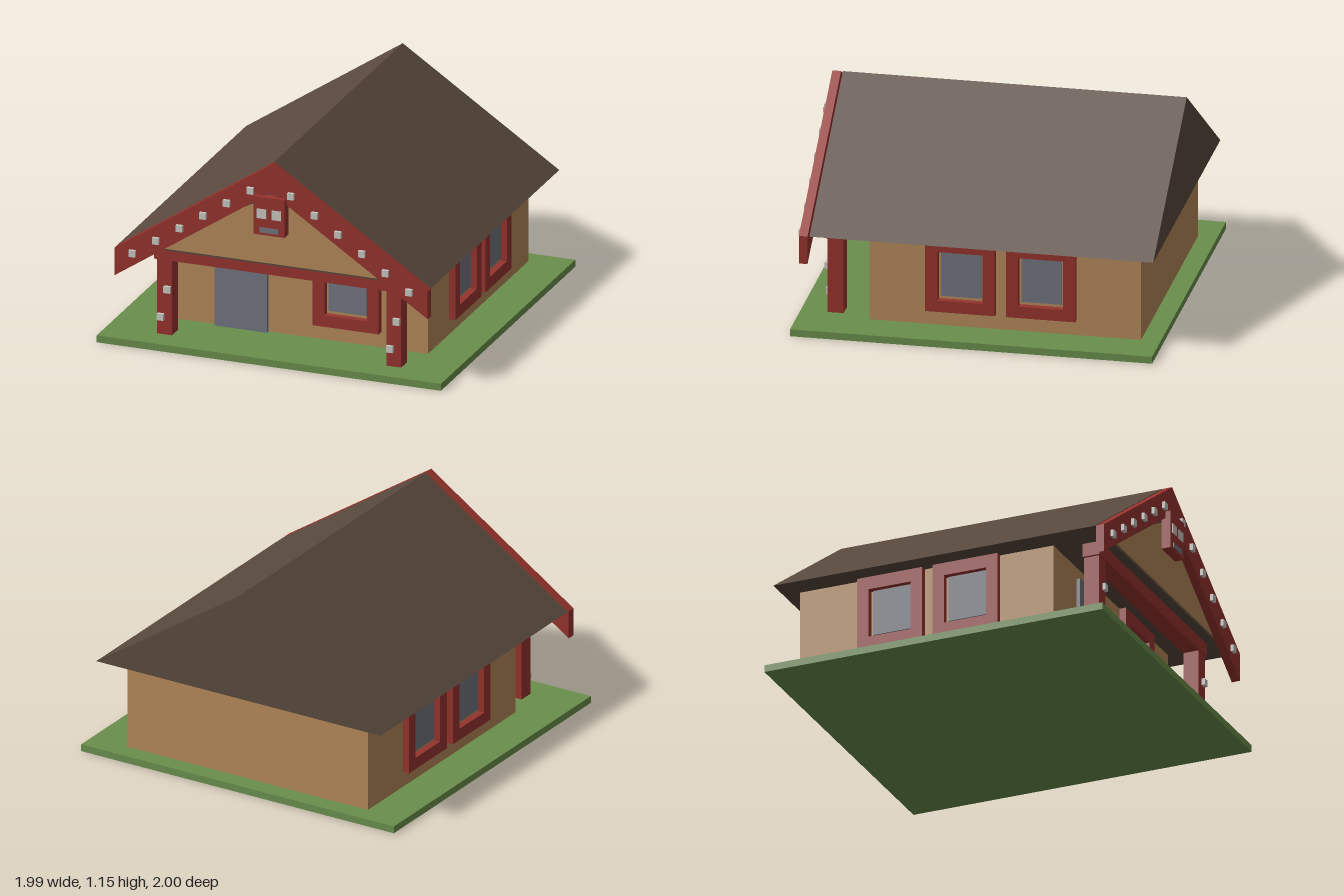
import * as THREE from 'three';

const mat = (name, color) => {
  const m = new THREE.MeshStandardMaterial({ color });
  m.name = name;
  return m;
};

export function createModel() {
  const house = new THREE.Group();
  house.name = 'meetingHouse';

  const grass = mat('grass green', 0x6a8f4d);
  const wall = mat('tan wall', 0xb4895a);
  const red = mat('carved red', 0x96332d);
  const brown = mat('roof brown', 0x59493d);
  const glass = mat('grey glass', 0x727681);
  const pale = mat('pale shell', 0xcbc8c2);

  const add = (name, geo, m, parent = house) => {
    const mesh = new THREE.Mesh(geo, m);
    mesh.name = name;
    parent.add(mesh);
    return mesh;
  };
  // Box given by its minimum and maximum on each axis
  const box = (name, m, x0, x1, y0, y1, z0, z1, parent) => {
    const g = new THREE.BoxGeometry(x1 - x0, y1 - y0, z1 - z0);
    g.translate((x0 + x1) / 2, (y0 + y1) / 2, (z0 + z1) / 2);
    return add(name, g, m, parent);
  };
  const outline = (pts) => new THREE.Shape(pts.map(([x, y]) => new THREE.Vector2(x, y)));
  // Outline in the xy plane, extruded from z0 to z1
  const slab = (name, m, shape, z0, z1, parent) => {
    const g = new THREE.ExtrudeGeometry(shape, { depth: z1 - z0, bevelEnabled: false });
    g.translate(0, 0, z0);
    return add(name, g, m, parent);
  };

  // Ground and walls
  box('ground', grass, -0.997, 0.993, 0, 0.04, -0.997, 0.993);
  box('walls', wall, -0.765, 0.765, 0.04, 0.55, -0.89, 0.602);

  // Solid gabled roof, with the front gable panel
  slab('roof', brown, outline([[-0.905, 0.55], [0.905, 0.55], [0, 1.155]]), -0.985, 0.905);
  slab('gablePanel', wall, outline([[-0.77, 0.563], [0.77, 0.563], [0, 0.955]]), 0.905, 0.914);

  // Barge boards meeting at the ridge
  slab('bargeBoards', red, outline([
    [-0.905, 0.39], [0, 0.993], [0.905, 0.39], [0.905, 0.55], [0, 1.155], [-0.905, 0.55],
  ]), 0.915, 0.963);

  // Shell studs along the barge boards
  const stud = (x, y, z) =>
    box('stud', pale, x - 0.019, x + 0.019, y - 0.019, y + 0.019, z, z + 0.018);
  for (const side of [-1, 1]) {
    for (let i = 0; i < 6; i++) stud(side * (0.8 - i * 0.1365), 0.533 + i * 0.0917, 0.963);
  }

  // Carved mask under the ridge
  const mask = new THREE.Group();
  mask.name = 'mask';
  house.add(mask);
  box('face', red, -0.09, 0.09, 0.755, 0.972, 0.94, 0.993, mask);
  for (const x of [-0.043, 0.043]) {
    box('eye', pale, x - 0.027, x + 0.027, 0.85, 0.904, 0.993, 0.998, mask);
  }
  box('mouth', glass, -0.054, 0.054, 0.77, 0.798, 0.993, 0.998, mask);

  // Porch beam and posts
  box('porchBeam', red, -0.72, 0.72, 0.472, 0.549, 0.752, 0.852);
  for (const x of [-0.663, 0.663]) {
    box('post', red, x - 0.043, x + 0.043, 0.04, 0.472, 0.757, 0.845);
    stud(x + 0.019, 0.304, 0.845);
    stud(x - 0.019, 0.142, 0.845);
  }

  // Door
  box('door', glass, -0.46, -0.157, 0.04, 0.48, 0.6, 0.624);

  // Window with a deep frame, centred on x = 0 and backed at z = 0
  const makeWindow = () => {
    const w = new THREE.Group();
    w.name = 'window';
    const frame = outline([[-0.191, 0.128], [0.191, 0.128], [0.191, 0.549], [-0.191, 0.549]]);
    frame.holes.push(new THREE.Path([
      [-0.124, 0.194], [-0.124, 0.475], [0.124, 0.475], [0.124, 0.194],
    ].map(([x, y]) => new THREE.Vector2(x, y))));
    slab('windowFrame', red, frame, 0, 0.038, w);
    box('windowGlass', glass, -0.11, 0.11, 0.212, 0.474, 0, 0.009, w);
    house.add(w);
    return w;
  };
  makeWindow().position.set(0.305, 0, 0.602);
  for (const side of [-1, 1]) {
    for (const z of [0.098, -0.345]) {
      const w = makeWindow();
      w.position.set(side * 0.765, 0, z);
      w.rotation.y = side * Math.PI / 2;
    }
  }

  return house;
}
